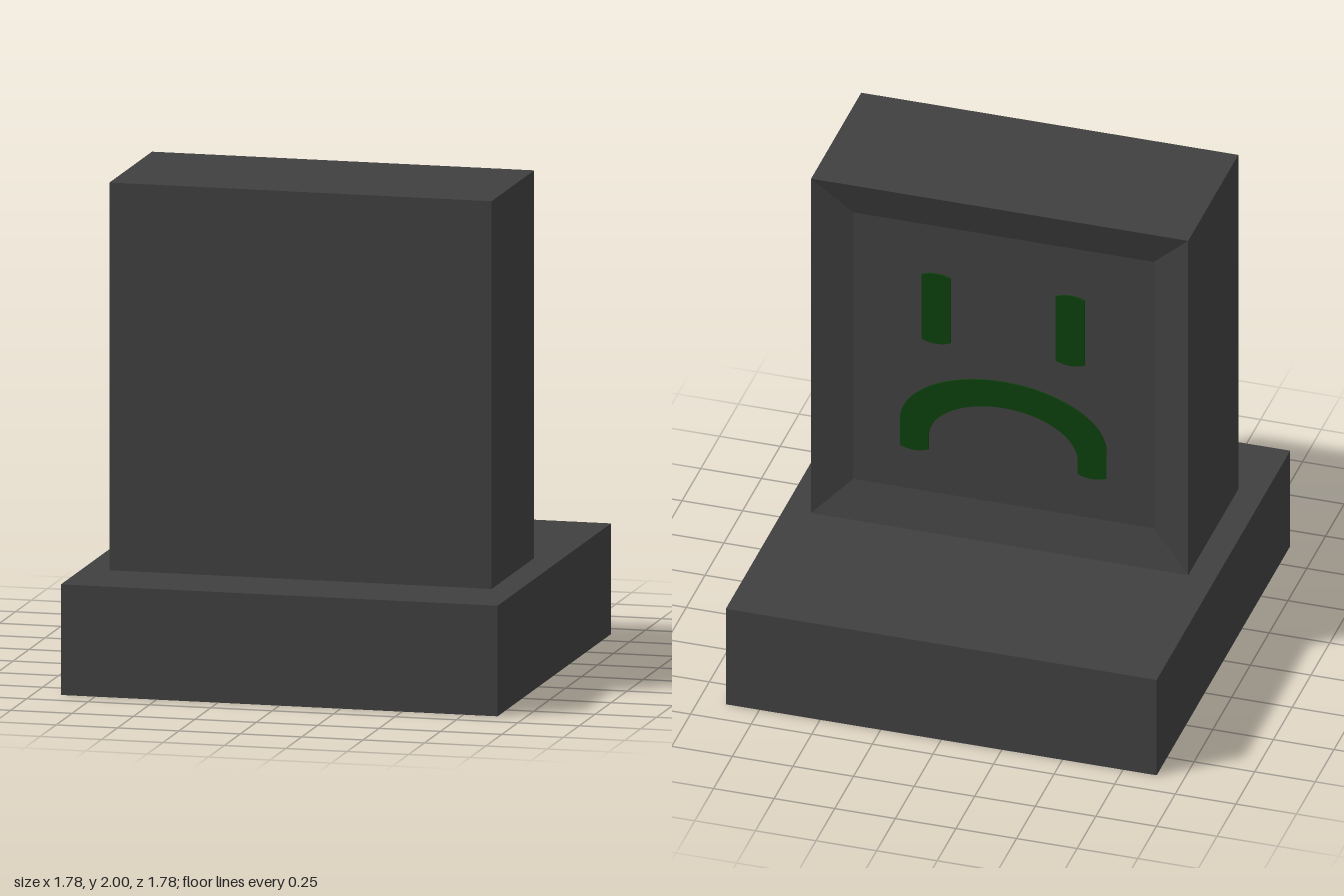
import * as THREE from 'three';

const casing = new THREE.MeshStandardMaterial({ color: 0x404040 });
casing.name = 'dark grey casing';
const glow = new THREE.MeshStandardMaterial({ color: 0x0d400d });
glow.name = 'dark green pixels';

const SCREEN_Z = -0.06; // recessed screen plane on the back
const MID_Y = 1.222;    // centre height of the monitor

function add(parent, name, geometry, material) {
  const mesh = new THREE.Mesh(geometry, material);
  mesh.name = name;
  parent.add(mesh);
  return mesh;
}

// Square cross-sections [half size, z] from front to back, joined with flat faces
function loftSquares(sections) {
  const corners = [[1, -1], [1, 1], [-1, 1], [-1, -1]];
  const point = ([s, z], k) => [corners[k % 4][0] * s, corners[k % 4][1] * s, z];
  const positions = [];
  for (let i = 0; i < sections.length - 1; i++) {
    for (let k = 0; k < 4; k++) {
      const a = point(sections[i], k), b = point(sections[i], k + 1);
      const c = point(sections[i + 1], k + 1), d = point(sections[i + 1], k);
      if (sections[i + 1][0] > 0) positions.push(...a, ...d, ...c);
      if (sections[i][0] > 0) positions.push(...a, ...c, ...b);
    }
  }
  const geometry = new THREE.BufferGeometry();
  geometry.setAttribute('position', new THREE.Float32BufferAttribute(positions, 3));
  geometry.computeVertexNormals();
  return geometry;
}

function plate(shape) {
  return new THREE.ExtrudeGeometry(shape, { depth: 0.006, bevelEnabled: false, curveSegments: 20 });
}

// Upright bar with softly bowed ends
function eyeShape(x) {
  const w = 0.06, bow = 0.025;
  const s = new THREE.Shape();
  s.moveTo(x - w, 1.31);
  s.quadraticCurveTo(x, 1.31 - bow, x + w, 1.31);
  s.lineTo(x + w, 1.61);
  s.quadraticCurveTo(x, 1.61 + bow, x - w, 1.61);
  s.closePath();
  return s;
}

// Downturned arch with short legs
function mouthShape() {
  const s = new THREE.Shape();
  s.moveTo(0.426, 0.8);
  s.lineTo(0.426, 0.92);
  s.absellipse(0, 0.92, 0.426, 0.25, 0, Math.PI, false);
  s.lineTo(-0.426, 0.8);
  s.quadraticCurveTo(-0.367, 0.775, -0.308, 0.8);
  s.lineTo(-0.308, 0.86);
  s.absellipse(0, 0.86, 0.308, 0.19, Math.PI, 0, true);
  s.lineTo(0.308, 0.8);
  s.quadraticCurveTo(0.367, 0.775, 0.426, 0.8);
  return s;
}

export function createModel() {
  const model = new THREE.Group();
  model.name = 'computer';

  // Base unit
  add(model, 'base', new THREE.BoxGeometry(1.778, 0.444, 1.778), casing).position.y = 0.222;

  // Monitor with a bevelled recess in its back
  const monitor = loftSquares([
    [0, 0.556], [0.778, 0.556], [0.778, -0.111], [0.62, SCREEN_Z], [0, SCREEN_Z],
  ]);
  add(model, 'monitor', monitor, casing).position.y = MID_Y;

  // Sad face on the screen
  const face = new THREE.Group();
  face.name = 'screenFace';
  face.rotation.y = Math.PI;
  face.position.z = SCREEN_Z;
  for (const side of [-1, 1]) {
    add(face, side < 0 ? 'leftEye' : 'rightEye', plate(eyeShape(side * 0.277)), glow);
  }
  add(face, 'mouth', plate(mouthShape()), glow);
  model.add(face);

  return model;
}
